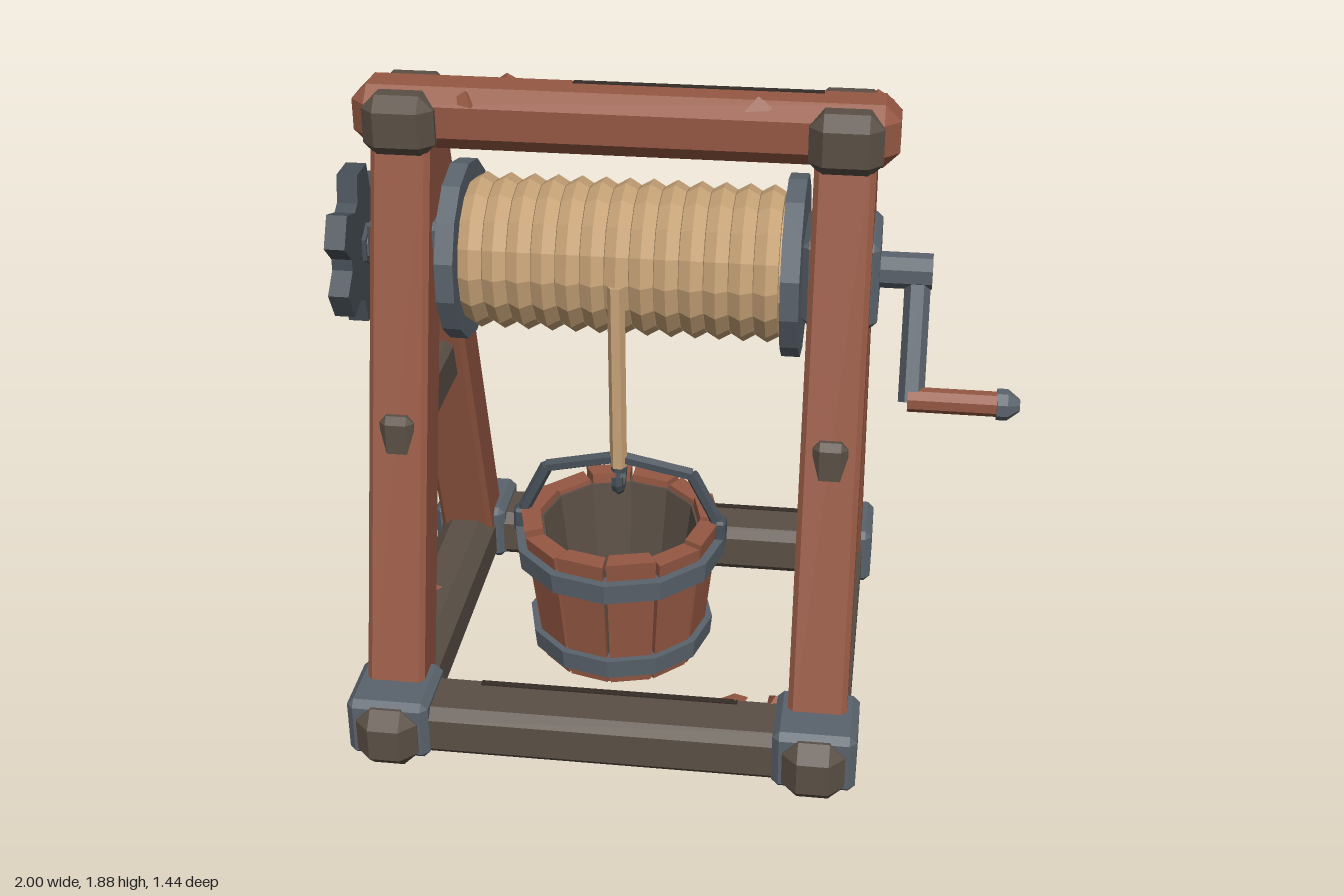
import * as THREE from 'three';
import { ConvexGeometry } from 'three/addons/geometries/ConvexGeometry.js';

const mat = (name, color) => {
  const m = new THREE.MeshStandardMaterial({ color });
  m.name = name;
  return m;
};
const V = (x, y, z) => new THREE.Vector3(x, y, z);

export function createModel() {
  const root = new THREE.Group();
  root.name = 'wellWinch';
  const redWood = mat('red wood', 0x955843);
  const darkWood = mat('dark wood', 0x5a4f45);
  const steel = mat('steel', 0x5a636c);
  const iron = mat('dark iron', 0x485058);
  const rope = mat('rope', 0xc8a478);
  const crackTone = mat('crack', 0x352c27);

  // Faceted mesh
  const add = (name, geo, material, pos = V(0, 0, 0)) => {
    const g = geo.index ? geo.toNonIndexed() : geo;
    g.computeVertexNormals();
    const mesh = new THREE.Mesh(g, material);
    mesh.name = name;
    mesh.position.copy(pos);
    root.add(mesh);
    return mesh;
  };
  // Box with every edge cut off
  const block = (name, w, h, d, c, material, pos) => {
    const pts = [];
    for (const x of [-1, 1]) for (const y of [-1, 1]) for (const z of [-1, 1]) {
      const a = w / 2, b = h / 2, e = d / 2;
      pts.push(V(x * a, y * (b - c), z * (e - c)), V(x * (a - c), y * b, z * (e - c)), V(x * (a - c), y * (b - c), z * e));
    }
    return add(name, new ConvexGeometry(pts), material, pos);
  };
  // Round or faceted bar between two points
  const bar = (name, a, b, r, sides, material, rEnd = r) => {
    const dir = b.clone().sub(a);
    const g = new THREE.CylinderGeometry(rEnd, r, dir.length(), sides).rotateY(Math.PI / sides);
    const m = add(name, g, material, a.clone().add(b).multiplyScalar(0.5));
    m.quaternion.setFromUnitVectors(V(0, 1, 0), dir.normalize());
    return m;
  };

  const CX = -0.145, HALF = 0.62, AXLE = 1.365;

  // Base frame, leaning legs, braces and caps
  for (const s of [-1, 1]) {
    const x = CX + s * HALF;
    block('sideBaseBeam', 0.18, 0.19, 1.44, 0.045, darkWood, V(x, 0.1, 0));
    block('crossBaseBeam', 1.2, 0.16, 0.2, 0.03, darkWood, V(CX, 0.1, s * 0.55));
    block('sideBrace', 0.1, 0.15, 0.72, 0.02, darkWood, V(x, 0.905, 0));
    block('topCap', 0.205, 0.18, 0.3, 0.04, darkWood, V(x, 1.77, 0));
    block('bearingPlate', 0.215, 0.255, 0.28, 0.018, steel, V(x, AXLE, 0));
    for (const t of [-1, 1]) {
      block('cornerCollar', 0.24, 0.19, 0.235, 0.02, steel, V(x, 0.115, t * 0.553));
      const leg = block('leg', 0.17, 1.7, 0.163, 0.015, redWood, V(x, 0.92, t * 0.26));
      leg.rotation.x = -t * 0.283;
    }
  }
  block('topBeam', 1.53, 0.18, 0.19, 0.045, redWood, V(CX, 1.78, 0));

  // Cracks along the beams
  for (const [x, y, z, len] of [[0.055, 1.869, -0.035, 0.7], [0.12, 0.18, -0.61, 0.46], [-0.14, 0.18, 0.49, 0.76]])
    add('crack', new THREE.BoxGeometry(len, 0.008, 0.02), crackTone, V(x, y, z));
  // Raised splinters
  const splinters = [[-0.49, 1.86, -0.07], [0.23, 1.865, 0.055], [-0.58, 1.85, 0.07], [0.55, 1.85, -0.09],
    [-0.19, 0.18, -0.62], [0.23, 0.18, 0.47], [0.35, 0.18, 0.465], [CX + HALF, 0.19, 0.03], [CX - HALF, 0.19, 0.03]];
  splinters.forEach(([x, y, z], i) => {
    const m = add('splinter', new THREE.ConeGeometry(0.05, 0.035, 3), redWood, V(x, y, z));
    m.rotation.y = i * 1.3;
  });

  // Winch drum with wound rope
  bar('axle', V(-1, AXLE, 0), V(0.73, AXLE, 0), 0.052, 8, steel);
  bar('drumCore', V(-0.61, AXLE, 0), V(0.33, AXLE, 0), 0.18, 14, rope);
  for (const x of [-0.65, 0.315])
    bar('drumFlange', V(x, AXLE, 0), V(x + 0.053, AXLE, 0), 0.262, 14, steel);
  for (let i = 0; i < 13; i++)
    add('ropeCoil', new THREE.TorusGeometry(0.187, 0.039, 6, 16).rotateY(Math.PI / 2), rope, V(CX + (i - 6) * 0.0695, AXLE, 0));

  // Toothed wheel at one end
  const wheel = new THREE.Shape();
  for (let i = 0; i < 6; i++)
    [[-0.4, 0.165], [-0.2, 0.235], [0.2, 0.235], [0.4, 0.165]].forEach(([o, r], k) => {
      const a = (i + o) * Math.PI / 3 + Math.PI / 2;
      wheel[i + k ? 'lineTo' : 'moveTo'](r * Math.cos(a), r * Math.sin(a));
    });
  add('toothedWheel', new THREE.ExtrudeGeometry(wheel, { depth: 0.06, bevelEnabled: false }).rotateY(Math.PI / 2), iron, V(-0.972, AXLE, 0));
  bar('wheelHub', V(-1, AXLE, 0), V(-0.9, AXLE, 0), 0.065, 6, iron);

  // Crank
  bar('crankArm', V(0.69, AXLE, 0), V(0.69, 1.03, 0.163), 0.037, 6, steel);
  bar('crankHandle', V(0.68, 1.04, 0.163), V(0.945, 1.04, 0.163), 0.036, 8, redWood);
  bar('handleCollar', V(0.93, 1.04, 0.163), V(0.96, 1.04, 0.163), 0.045, 8, steel);
  bar('handleTip', V(0.96, 1.04, 0.163), V(0.995, 1.04, 0.163), 0.045, 8, steel, 0.018);

  // Hanging rope and hook
  const BZ = 0.2;
  bar('hangingRope', V(CX, 0.79, BZ + 0.01), V(CX, AXLE, BZ + 0.01), 0.025, 6, rope);
  const hook = new THREE.TorusGeometry(0.042, 0.018, 6, 10, Math.PI * 1.6).rotateZ(-Math.PI * 1.1).rotateY(Math.PI / 2);
  add('hook', hook, iron, V(CX, 0.755, BZ));
  bar('hookShank', V(CX, 0.77, BZ), V(CX, 0.83, BZ), 0.024, 6, iron);

  // Bucket staves, bent around the centre
  const N = 12, step = Math.PI * 2 / N, bucket = V(CX, 0, BZ);
  for (let i = 0; i < N; i++) {
    const g = new THREE.BoxGeometry(1, 1, 1), p = g.attributes.position;
    const top = 0.625 - (i * 5 % 3) * 0.008;
    for (let k = 0; k < p.count; k++) {
      const v = p.getY(k) + 0.5;
      const a = (i + 0.5 + p.getX(k) * 0.93) * step;
      const r = 0.245 + 0.052 * v + (p.getZ(k) - 0.5) * 0.058;
      p.setXYZ(k, r * Math.sin(a), 0.185 + (top - 0.185) * v, r * Math.cos(a));
    }
    add('bucketStave', g, redWood, bucket);
  }
  const lathe = pts => new THREE.LatheGeometry(pts.map(([x, y]) => new THREE.Vector2(x, y)), N);
  add('bucketLining', lathe([[0, 0.2], [0.225, 0.2], [0.272, 0.595], [0.23, 0.595], [0.18, 0.23], [0, 0.23]]), darkWood, bucket);
  add('bucketBottom', new THREE.CylinderGeometry(0.238, 0.235, 0.03, N), redWood, bucket.clone().setY(0.197));
  for (const [y0, y1, r0, r1] of [[0.22, 0.28, 0.272, 0.278], [0.505, 0.568, 0.312, 0.318]])
    add('bucketBand', lathe([[r0 - 0.05, y0], [r0, y0], [r1, y1], [r1 - 0.05, y1], [r0 - 0.05, y0]]), steel, bucket);

  // Bucket bail and its lugs
  for (const s of [-1, 1]) {
    const pts = [[0.298, 0.58], [0.282, 0.635], [0.215, 0.77], [0, 0.815]].map(([x, y]) => V(CX + s * x, y, BZ));
    for (let i = 0; i < 3; i++) bar('bucketBail', pts[i], pts[i + 1], 0.02, 6, iron);
    block('bailLug', 0.035, 0.08, 0.05, 0.008, iron, V(CX + s * 0.3, 0.585, BZ));
  }
  return root;
}
